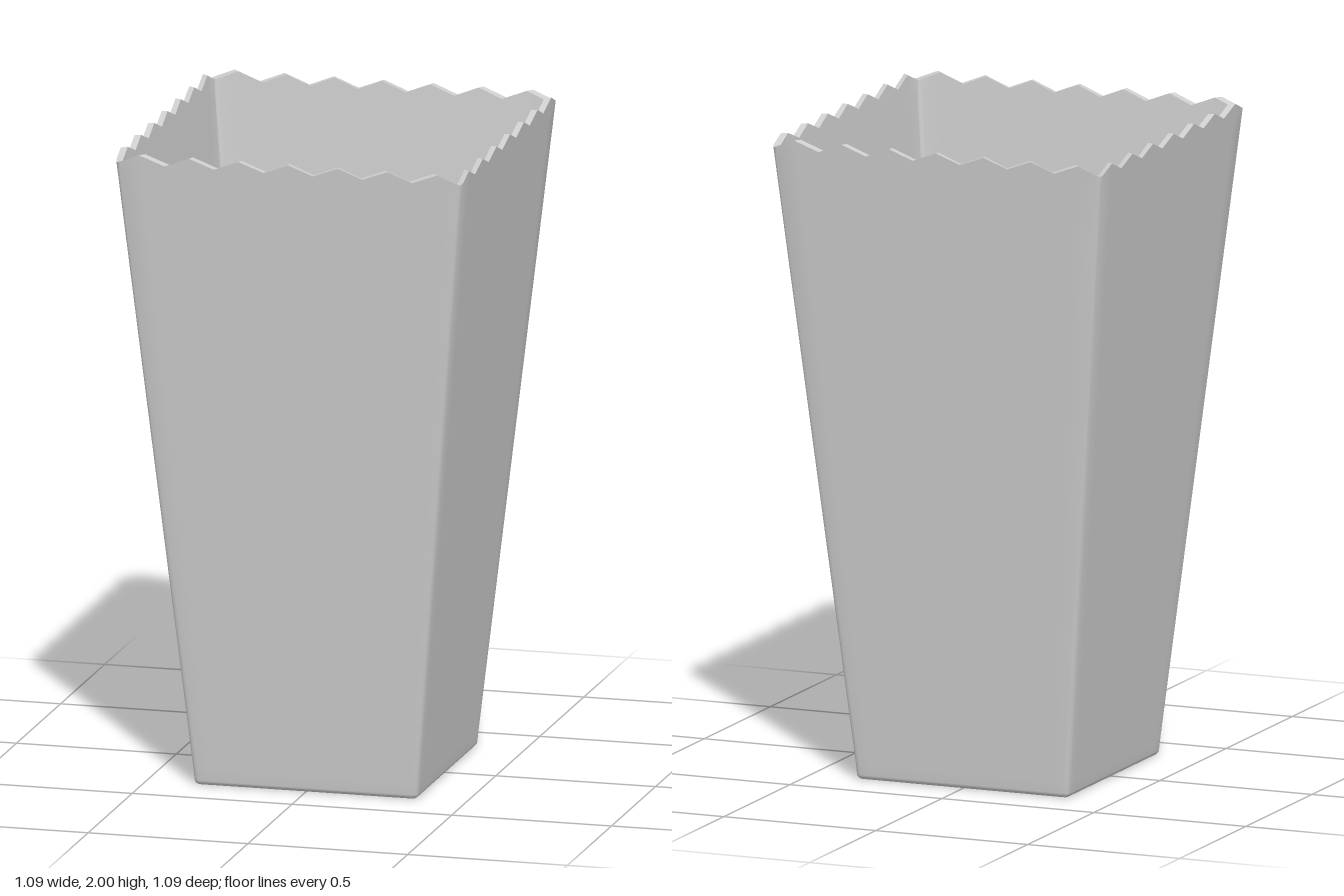
import * as THREE from 'three';
import { toCreasedNormals } from 'three/addons/utils/BufferGeometryUtils.js';

const TOP = 2, TOOTH = 0.03, TEETH = 7, FILLET = 0.015, WALL = 0.018;
const SLOPE = (0.545 - 0.35) / (TOP - FILLET);
const ARC_STEPS = 4;

// Half width of the outer wall at height y
const halfWidth = (y) => 0.545 - (TOP - y) * SLOPE;

// One rounded-square cross-section; the rim ones dip in a zigzag
function ring({ h, y, r = 0, rim = false }) {
  const side = [];
  for (let k = 1; k < TEETH * 2; k++) side.push([(k / TEETH - 1) * (h - (k === 0 ? r : 0)), h]);
  for (let i = 0; i <= ARC_STEPS; i++) {
    const a = (i / ARC_STEPS) * Math.PI / 2;
    side.push([h - r + r * Math.sin(a), h - r + r * Math.cos(a)]);
  }
  const points = [];
  for (let q = 0; q < 4; q++) {
    const c = Math.round(Math.cos(q * Math.PI / 2)), s = Math.round(Math.sin(q * Math.PI / 2));
    for (const [u, n] of side) {
      let drop = 0;
      if (rim) {
        const d = Math.min(Math.abs(u), n) / h * TEETH;
        drop = TOOTH * Math.abs(((d + 1) % 2) - 1);
      }
      const k = rim ? (h - drop * SLOPE) / h : 1;
      points.push(new THREE.Vector3((u * c + n * s) * k, y - drop, (-u * s + n * c) * k));
    }
  }
  return points;
}

// Skin between successive rings
function loft(rings) {
  const pos = [];
  const n = rings[0].length;
  for (let j = 0; j < rings.length - 1; j++) {
    for (let i = 0; i < n; i++) {
      const k = (i + 1) % n;
      const a = rings[j][i], b = rings[j][k], c = rings[j + 1][k], d = rings[j + 1][i];
      for (const t of [[a, b, c], [a, c, d]]) {
        const area = new THREE.Triangle(...t).getArea();
        if (area > 1e-10) for (const p of t) pos.push(p.x, p.y, p.z);
      }
    }
  }
  const geometry = new THREE.BufferGeometry();
  geometry.setAttribute('position', new THREE.Float32BufferAttribute(pos, 3));
  return toCreasedNormals(geometry, 0.6);
}

export function createModel() {
  const group = new THREE.Group();
  group.name = 'taperedContainer';

  // Underside and rounded bottom edge
  const sections = [{ h: 0, y: 0 }, { h: 0.32, y: 0, r: 0.005 }];
  for (let i = 0; i <= 4; i++) {
    const a = (i / 4) * Math.PI / 2;
    sections.push({
      h: 0.35 - FILLET + FILLET * Math.sin(a),
      y: FILLET - FILLET * Math.cos(a),
      r: 0.008 + 0.008 * Math.sin(a),
    });
  }
  // Outer wall up to the zigzag rim, then over to the inside
  for (const y of [0.05, 1.93]) sections.push({ h: halfWidth(y), y, r: 0.018 });
  sections.push({ h: 0.545, y: TOP, r: 0.018, rim: true });
  sections.push({ h: 0.545 - WALL, y: TOP, r: 0.012, rim: true });
  // Inner wall down to the floor
  for (const y of [1.93, 0.07]) sections.push({ h: halfWidth(y) - WALL, y, r: 0.012 });
  const floorY = 0.02, innerH = halfWidth(floorY + 0.012) - WALL;
  for (let i = 0; i <= 4; i++) {
    const a = (i / 4) * Math.PI / 2;
    sections.push({
      h: innerH - 0.012 + 0.012 * Math.cos(a),
      y: floorY + 0.012 - 0.012 * Math.sin(a),
      r: 0.012 - 0.006 * Math.sin(a),
    });
  }
  sections.push({ h: 0.3, y: floorY, r: 0.005 }, { h: 0, y: floorY });

  const shell = new THREE.Mesh(
    loft(sections.map(ring)),
    new THREE.MeshStandardMaterial({ color: 0xcccccc }),
  );
  shell.name = 'zigzagRimShell';
  group.add(shell);
  return group;
}
